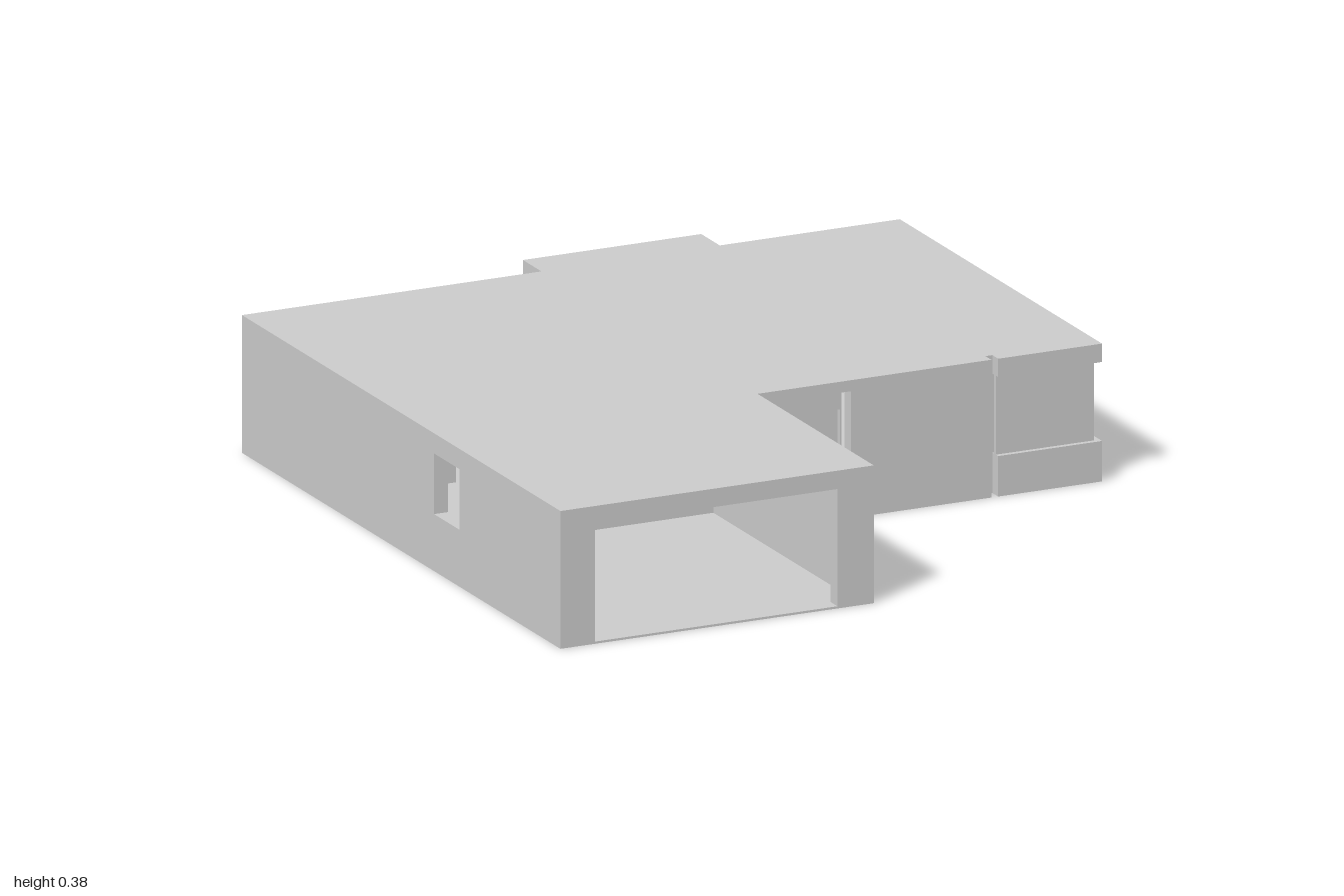
import * as THREE from 'three';

const FLOOR = 0.006, CEILING = 0.35, TOP = 0.375, T = 0.04;

export function createModel() {
  const house = new THREE.Group();
  house.name = 'house';
  const plaster = new THREE.MeshStandardMaterial({ color: 0xcccccc });
  plaster.name = 'light grey plaster';

  const add = (name, geometry) => {
    const mesh = new THREE.Mesh(geometry, plaster);
    mesh.name = name;
    house.add(mesh);
    return mesh;
  };

  const toShape = (pts) => new THREE.Shape(pts.map(([x, y]) => new THREE.Vector2(x, y)));

  // Horizontal slab from a plan outline of [x, z] points
  const slab = (name, plan, y0, y1) => {
    const shape = toShape(plan.map(([x, z]) => [x, -z]));
    const geometry = new THREE.ExtrudeGeometry(shape, { depth: y1 - y0, bevelEnabled: false });
    geometry.rotateX(-Math.PI / 2).translate(0, y0, 0);
    return add(name, geometry);
  };

  // Wall running along x or z from a to b, between depths d0 and d1.
  // Openings are [from, to, bottom, top, panel]; a panel fills the opening, set back in the wall.
  const wall = (name, axis, a, b, d0, d1, openings = []) => {
    const outline = [[a, FLOOR]], holes = [];
    for (const [p, q, y0, y1] of openings) {
      if (y0 > FLOOR) holes.push(toShape([[p, y0], [p, y1], [q, y1], [q, y0]]));
      else outline.push([p, FLOOR], [p, y1], [q, y1], [q, FLOOR]);
    }
    outline.push([b, FLOOR], [b, CEILING], [a, CEILING]);
    const shape = toShape(outline);
    shape.holes.push(...holes);
    const geometry = new THREE.ExtrudeGeometry(shape, { depth: d1 - d0, bevelEnabled: false });
    if (axis === 'z') geometry.rotateY(-Math.PI / 2).translate(d1, 0, 0);
    else geometry.translate(0, 0, d0);
    add(name, geometry);

    for (const [p, q, y0, y1, panel] of openings) {
      if (!panel) continue;
      const bottom = Math.max(y0, FLOOR), mid = (d0 + d1) / 2;
      const size = [q - p, y1 - bottom, 0.01];
      if (axis === 'z') size.reverse();
      const mesh = add(panel, new THREE.BoxGeometry(...size));
      const along = (p + q) / 2, y = (bottom + y1) / 2;
      if (axis === 'z') mesh.position.set(mid, y, along);
      else mesh.position.set(along, y, mid);
    }
  };

  // Floor and flat roof share one outline, with the downpipe notch in the front
  const plan = [
    [-0.95, 1], [-0.045, 1], [-0.045, 0.31], [0.63, 0.31], [0.63, 0.275], [0.65, 0.275],
    [0.65, 0.31], [0.95, 0.31], [0.95, -0.89], [0.43, -0.89], [0.43, -1], [-0.085, -1],
    [-0.085, -0.89], [-0.95, -0.89],
  ];
  slab('floor', plan, 0, FLOOR);
  slab('roof', plan, CEILING, TOP);

  // Garage wing
  wall('garageFrontWall', 'x', -0.95, -0.045, 1 - T, 1, [[-0.85, -0.15, 0, 0.325]]);
  wall('garageSideWall', 'z', 0.27, 1, -0.045 - T, -0.045);
  wall('garageBackWall', 'x', -0.95, -0.045, 0.1, 0.13, [[-0.9, -0.77, 0, 0.285]]);
  wall('garagePartition', 'z', 0.1, 0.31, -0.085, -0.055);
  wall('rightOuterWall', 'z', -0.89, 1, -0.95, -0.95 + T, [[0.25, 0.4, 0.155, 0.32]]);

  // Entrance front with a door panel and a narrow open sidelight
  wall('entranceWall', 'x', -0.045, 0.63, 0.31 - T, 0.31, [
    [-0.02, 0.193, 0, 0.3, 'frontDoor'], [0.197, 0.225, 0, 0.345],
  ]);
  wall('notchBack', 'x', 0.6, 0.68, 0.25, 0.275);

  // Corner window: wrapped sill, lintel and set-back glazing
  const cornerPlan = (x1, z1, t) => [
    [0.65, z1], [x1, z1], [x1, 0.16], [x1 - t, 0.16], [x1 - t, z1 - t], [0.65, z1 - t],
  ];
  slab('cornerSill', cornerPlan(0.95, 0.31, T), FLOOR, 0.11);
  slab('cornerWindow', cornerPlan(0.934, 0.296, 0.01), 0.11, 0.325);
  slab('cornerLintel', cornerPlan(0.95, 0.31, T), 0.325, CEILING);

  // Left side with wide patio doors
  wall('leftOuterWall', 'z', -0.89, 0.16, 0.95 - T, 0.95, [[-0.55, -0.13, 0, 0.325, 'patioDoors']]);

  // Back walls and projecting bay
  wall('backWallLeft', 'x', 0.43 - T, 0.95, -0.89, -0.89 + T, [[0.45, 0.92, 0, 0.325, 'rearGlazing']]);
  wall('bayWall', 'x', -0.085, 0.43, -1, -1 + T, [[0.03, 0.38, 0.115, 0.325, 'bayWindow']]);
  wall('baySideLeft', 'z', -1, -0.85, 0.43 - T, 0.43);
  wall('baySideRight', 'z', -1, -0.85, -0.085, -0.085 + T);
  wall('backWallRight', 'x', -0.95, -0.085, -0.89, -0.89 + T, [
    [-0.82, -0.68, 0, 0.285], [-0.495, -0.36, 0, 0.285],
  ]);

  // Inner partition between the two back doors
  wall('innerPartition', 'z', -0.87, -0.4, -0.6, -0.57);

  return house;
}
